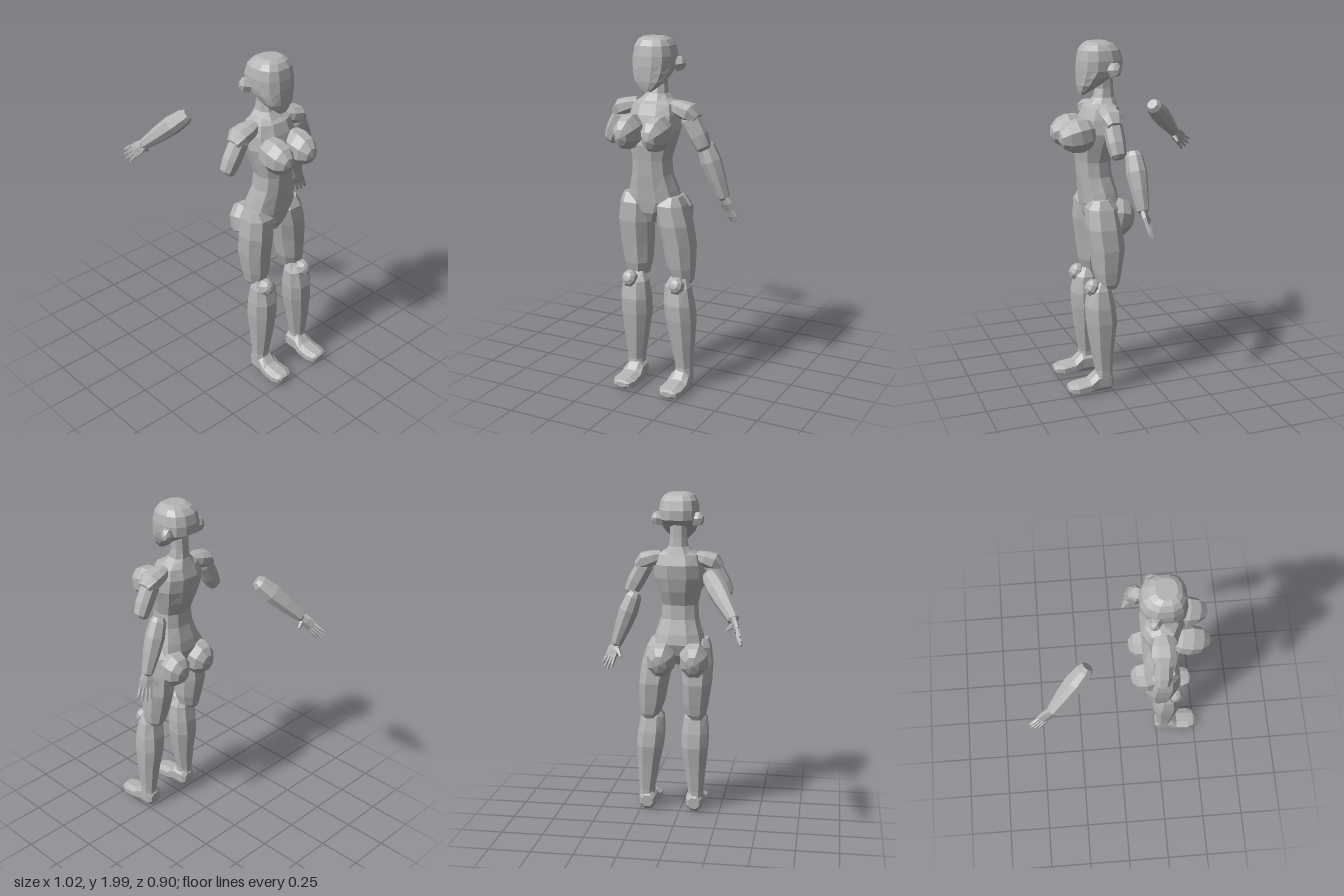
import * as THREE from 'three';

const V = (x, y, z) => new THREE.Vector3(x, y, z);
const grey = new THREE.MeshStandardMaterial({ color: 0xb4b4b4 });
grey.name = 'mannequin grey';

// Faceted skin over rings [centre, radiusU, radiusV]; u x v points along the axis w
function loft(rings, w, hint, sides = 8, power = 0.85) {
  w = w.clone().normalize();
  const u = hint.clone().addScaledVector(w, -hint.dot(w)).normalize();
  const v = w.clone().cross(u);
  const off = Math.PI / sides;
  const top = Math.cos(off) ** power;
  const bend = (t) => Math.sign(t) * Math.abs(t) ** power / top;
  const pos = [], idx = [];
  rings.forEach(([c, ru, rv]) => {
    for (let j = 0; j < sides; j++) {
      const a = off + (j / sides) * Math.PI * 2;
      const p = c.clone().addScaledVector(u, ru * bend(Math.cos(a))).addScaledVector(v, rv * bend(Math.sin(a)));
      pos.push(p.x, p.y, p.z);
    }
  });
  for (let i = 0; i < rings.length - 1; i++) {
    for (let j = 0; j < sides; j++) {
      const k = (j + 1) % sides, a = i * sides, b = a + sides;
      idx.push(a + j, a + k, b + k, a + j, b + k, b + j);
    }
  }
  const last = (rings.length - 1) * sides;
  for (let j = 1; j < sides - 1; j++) idx.push(0, j + 1, j, last, last + j, last + j + 1);
  const g = new THREE.BufferGeometry();
  g.setAttribute('position', new THREE.Float32BufferAttribute(pos, 3));
  g.setIndex(idx);
  return flat(g);
}

function flat(g) {
  const f = g.index ? g.toNonIndexed() : g;
  f.computeVertexNormals();
  return f;
}

export function createModel() {
  const model = new THREE.Group();
  const add = (name, geometry, parent = model) => {
    const mesh = new THREE.Mesh(geometry, grey);
    mesh.name = name;
    parent.add(mesh);
    return mesh;
  };

  // Upright part from rows [y, xBack, xFront, zCentre, halfWidth], top to bottom
  const column = (name, rows, sides, power) => add(name, loft(
    rows.map(([y, a, b, z, h]) => [V((a + b) / 2, y, z), (b - a) / 2, h]), V(0, -1, 0), V(1, 0, 0), sides, power));

  // Limb along a line of rows [x, y, z, radiusU, radiusV]
  const limb = (name, rows, hint, parent, sides = 8) => {
    const c = rows.map((r) => V(r[0], r[1], r[2]));
    return add(name, loft(rows.map((r, i) => [c[i], r[3], r[4]]), c[c.length - 1].clone().sub(c[0]), hint, sides), parent);
  };

  // Faceted rounded mass
  const blob = (name, p, r, tilt = 0) => {
    const g = new THREE.SphereGeometry(1, 8, 6);
    g.rotateY(Math.PI / 8).rotateZ(-Math.PI / 2).scale(...r).rotateZ(tilt).translate(...p);
    return add(name, flat(g));
  };

  // Head and neck
  column('head', [
    [2.0, 0.19, 0.3, 0, 0.06], [1.985, 0.155, 0.325, 0, 0.085], [1.955, 0.125, 0.345, 0, 0.105],
    [1.9, 0.11, 0.355, 0, 0.115], [1.845, 0.112, 0.36, 0, 0.113], [1.81, 0.17, 0.36, 0, 0.105],
    [1.765, 0.24, 0.36, 0, 0.085], [1.73, 0.295, 0.355, 0, 0.05], [1.71, 0.325, 0.35, 0, 0.025],
  ], 12, 0.8);
  column('neck', [
    [1.84, 0.165, 0.265, 0, 0.05], [1.74, 0.16, 0.25, 0, 0.048], [1.69, 0.155, 0.265, 0, 0.055], [1.64, 0.14, 0.31, 0, 0.1],
  ]);

  // Torso, tapering to the hips
  column('torso', [
    [1.665, 0.16, 0.28, 0, 0.08], [1.64, 0.14, 0.32, 0, 0.125], [1.58, 0.12, 0.345, 0, 0.14], [1.5, 0.13, 0.365, 0, 0.145],
    [1.42, 0.15, 0.38, 0, 0.125], [1.335, 0.185, 0.37, 0, 0.105], [1.25, 0.18, 0.365, 0, 0.112], [1.16, 0.155, 0.355, 0, 0.14],
    [1.1, 0.145, 0.35, 0, 0.155], [1.03, 0.17, 0.34, 0, 0.085], [0.97, 0.21, 0.31, 0, 0.025],
  ], 10);

  for (const s of [1, -1]) {
    const side = s > 0 ? 'left' : 'right';
    // The right leg stands further out towards the foot
    const shift = (y) => (s > 0 ? 0 : -0.115 * (1 - (y / 1.1) ** 2));
    const leg = (rows) => rows.map(([y, a, b, z, h]) => [y, a, b, s * z + shift(y), h]);

    // Ear: a small pointed cone
    limb(side + 'Ear', [[0.19, 1.85, s * 0.1, 0.04, 0.035], [0.175, 1.855, s * 0.135, 0.035, 0.025],
      [0.165, 1.855, s * 0.15, 0.014, 0.01]], V(0, 1, 0), model, 6);

    blob(side + 'Breast', [0.385, 1.495, s * 0.085], [0.118, 0.1, 0.079], -0.2);
    blob(side + 'Buttock', [0.165, 1.01, s * 0.1], [0.098, 0.115, 0.092], 0.2);

    // Shoulder and upper arm
    limb(side + 'Shoulder', [[0.23, 1.63, s * 0.1, 0.04, 0.03], [0.23, 1.615, s * 0.15, 0.06, 0.042],
      [0.23, 1.595, s * 0.21, 0.065, 0.05], [0.23, 1.565, s * 0.255, 0.04, 0.025]], V(1, 0, 0));
    limb(side + 'UpperArm', [[0.23, 1.61, s * 0.18, 0.035, 0.03], [0.23, 1.56, s * 0.21, 0.05, 0.05],
      [0.228, 1.47, s * 0.26, 0.048, 0.05], [0.225, 1.41, s * 0.29, 0.04, 0.04], [0.225, 1.395, s * 0.295, 0.026, 0.026]], V(1, 0, 0));

    // Leg
    column(side + 'Thigh', leg([
      [1.13, 0.22, 0.32, 0.125, 0.05], [1.08, 0.175, 0.352, 0.105, 0.085], [0.97, 0.165, 0.358, 0.11, 0.092],
      [0.85, 0.157, 0.345, 0.11, 0.086], [0.72, 0.18, 0.332, 0.103, 0.074], [0.65, 0.195, 0.315, 0.105, 0.058], [0.62, 0.21, 0.275, 0.11, 0.03],
    ]));
    column(side + 'Shin', leg([
      [0.67, 0.27, 0.32, 0.1, 0.045], [0.62, 0.245, 0.365, 0.095, 0.07], [0.52, 0.225, 0.385, 0.093, 0.081],
      [0.43, 0.217, 0.382, 0.092, 0.08], [0.3, 0.235, 0.368, 0.094, 0.065], [0.14, 0.25, 0.345, 0.098, 0.046], [0.08, 0.25, 0.35, 0.098, 0.046],
    ]));
    blob(side + 'Knee', [0.35, 0.635, s * 0.11 + shift(0.635)], [0.045, 0.052, 0.048], 0.5);

    // Foot, from heel to toe: [x, yLow, yHigh, halfWidth]
    add(side + 'Foot', loft([
      [0.243, 0.03, 0.1, 0.035], [0.265, 0.008, 0.13, 0.05], [0.34, 0.01, 0.128, 0.054],
      [0.385, 0.012, 0.085, 0.062], [0.46, 0.012, 0.075, 0.066], [0.498, 0.018, 0.068, 0.05], [0.51, 0.03, 0.06, 0.03],
    ].map(([x, a, b, h]) => [V(x, (a + b) / 2, s * 0.09 + shift(0.05)), (b - a) / 2, h]), V(1, 0, 0), V(0, 1, 0)));
  }

  // Separate forearms with hands; spread runs across the knuckles
  function forearm(name, elbow, wrist, tip, spread, thumbTip) {
    const group = new THREE.Group();
    group.name = name;
    model.add(group);
    const at = (t) => elbow.clone().lerp(wrist, t).toArray();
    limb(name + 'Arm', [[0, 0.03, 0.03], [0.08, 0.043, 0.045], [0.35, 0.052, 0.055], [0.65, 0.045, 0.046], [1, 0.03, 0.032], [1.04, 0.018, 0.02]]
      .map(([t, a, b]) => [...at(t), a, b]), spread, group);
    const along = (t, k) => wrist.clone().lerp(tip, t).addScaledVector(spread, k).toArray();
    limb(name + 'Palm', [[-0.1, 0.022, 0.016], [0.25, 0.038, 0.016], [0.52, 0.038, 0.011]]
      .map(([t, a, b]) => [...along(t, 0), a, b]), spread, group, 6);
    // Fingers fan out from the knuckles
    [0.9, 1, 1, 0.92].forEach((reach, i) => {
      const k = i - 1.5;
      limb(name + 'Finger', [[...along(0.45, k * 0.018), 0.009, 0.009], [...along(0.75, k * 0.022), 0.009, 0.009],
        [...along(reach, k * 0.026), 0.005, 0.005]], spread, group, 5);
    });
    limb(name + 'Thumb', [[...along(0.12, 0.015), 0.013, 0.012], [...thumbTip.toArray(), 0.006, 0.006]], spread, group, 5);
  }
  forearm('rightForearm', V(0.125, 1.42, -0.245), V(0.11, 1.11, -0.36), V(0.075, 0.965, -0.42),
    V(-0.5, -0.25, 0.8).normalize(), V(0.055, 1.04, -0.325));
  forearm('leftForearm', V(-0.175, 1.585, 0.225), V(-0.38, 1.375, 0.385), V(-0.495, 1.27, 0.44),
    V(0.65, -0.72, 0).normalize(), V(-0.395, 1.315, 0.35));

  return model;
}
